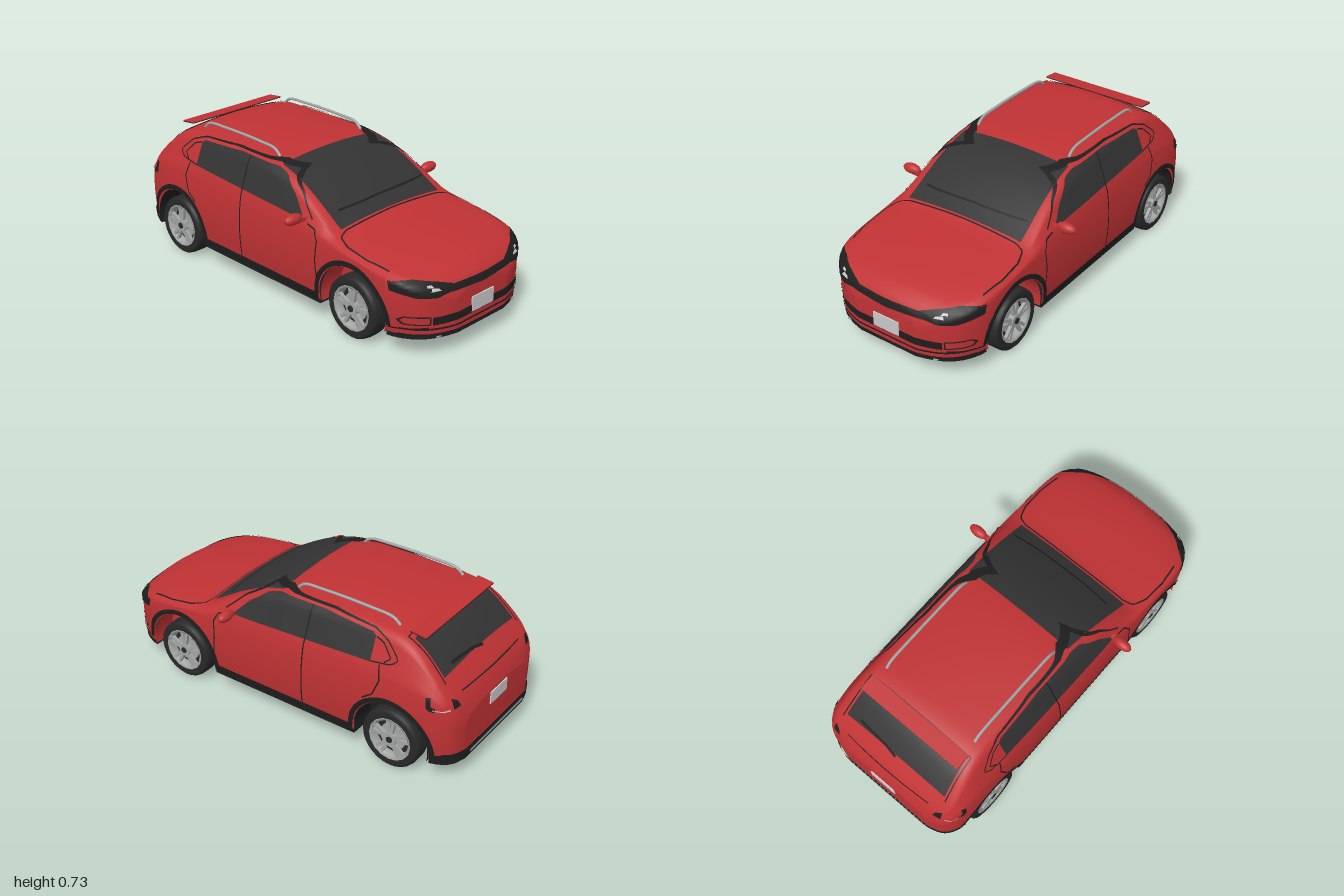
import * as THREE from 'three';

const mat = (name, color) => {
  const m = new THREE.MeshStandardMaterial({ color, side: THREE.DoubleSide });
  m.name = name;
  return m;
};

// Smooth curve through [z, value] pairs listed from front to back
function curve(p, z) {
  let i = 0;
  while (i < p.length - 2 && z < p[i + 1][0]) i++;
  const slope = (k) => {
    const a = p[Math.max(k - 1, 0)], b = p[Math.min(k + 1, p.length - 1)];
    return (b[1] - a[1]) / (b[0] - a[0]);
  };
  const h = p[i + 1][0] - p[i][0], t = (z - p[i][0]) / h, t2 = t * t, t3 = t2 * t;
  return (2 * t3 - 3 * t2 + 1) * p[i][1] + (t3 - 2 * t2 + t) * h * slope(i)
    + (3 * t2 - 2 * t3) * p[i + 1][1] + (t3 - t2) * h * slope(i + 1);
}

const WIDTH = [[1, .17], [.985, .23], [.96, .295], [.92, .35], [.87, .39], [.8, .418], [.65, .43], [0, .432],
  [-.65, .432], [-.8, .427], [-.9, .41], [-.96, .375], [-.985, .335], [-1, .28]];
const TOP = [[1, .31], [.985, .345], [.96, .37], [.9, .402], [.75, .436], [.6, .458], [.46, .476], [.42, .492],
  [.3, .565], [.2, .62], [.1, .662], [0, .688], [-.1, .699], [-.3, .704], [-.55, .7], [-.68, .688],
  [-.77, .645], [-.85, .575], [-.92, .5], [-.96, .45], [-.985, .4], [-1, .36]];
const BELT = [[1, .26], [.97, .31], [.9, .355], [.75, .392], [.5, .425], [.3, .455], [0, .472], [-.5, .49],
  [-.7, .49], [-.8, .475], [-.9, .435], [-.96, .38], [-1, .3]];
const ROOF = [[1, .14], [.97, .22], [.92, .3], [.8, .37], [.6, .385], [.42, .38], [.2, .362], [0, .347],
  [-.5, .34], [-.7, .345], [-.85, .36], [-.92, .36], [-.96, .335], [-1, .24]];
const ARCHES = [{ z: .58, r: .207 }, { z: -.68, r: .2 }];
const FLOOR = .115, AXLE = .155;

const archAt = (z) => ARCHES.find((a) => Math.abs(z - a.z) <= a.r + 1e-6);
function lowEdge(z) {
  const a = archAt(z);
  return a ? AXLE + Math.sqrt(Math.max(0, a.r ** 2 - (z - a.z) ** 2)) : FLOOR;
}

// Half cross-section from the sill up to the centre line
function section(z) {
  const w = curve(WIDTH, z), top = curve(TOP, z), b = curve(BELT, z), r = curve(ROOF, z), low = lowEdge(z);
  const sideX = (y) => w * (1 - 1.2 * (y - .3) ** 2), d = .025, pts = [];
  for (let i = 0; i <= 6; i++) {
    const y = low + (b - low) * i / 6;
    pts.push([sideX(y), y]);
  }
  const A = new THREE.Vector2(sideX(b), b), E = new THREE.Vector2(r, top - d);
  const M1 = A.clone().lerp(E, .78), M2 = new THREE.Vector2(.88 * r, top - d * .88 ** 2);
  for (let i = 1; i <= 3; i++) pts.push(A.clone().lerp(M1, i / 3).toArray());
  const bend = new THREE.QuadraticBezierCurve(M1, E, M2);
  for (let i = 1; i <= 5; i++) pts.push(bend.getPoint(i / 5).toArray());
  for (let i = 1; i <= 6; i++) {
    const k = .88 * (1 - i / 6);
    pts.push([k * r, top - d * k * k]);
  }
  return pts;
}

function stations() {
  const zs = [1, .995, .985, .97, .95, .925, .9, .86, .82, -.9, -.92, -.94, -.96, -.975, -.985, -.995, -1];
  for (let z = .35; z > -.46; z -= .05) zs.push(z);
  for (const a of ARCHES) {
    zs.push(a.z + a.r + .001, a.z - a.r - .001);
    for (let k = 0; k <= 18; k++) zs.push(a.z + a.r * Math.cos(k * Math.PI / 18));
  }
  return zs.sort((a, b) => b - a);
}

function bodyGeometry(zs) {
  const pos = [], idx = [];
  let n = 0;
  for (const z of zs) {
    const half = section(z);
    const ring = [...half.map(([x, y]) => [-x, y]), ...half.slice(0, -1).reverse()];
    n = ring.length;
    for (const [x, y] of ring) pos.push(x, y, z);
  }
  for (let i = 0; i < zs.length - 1; i++) for (let j = 0; j < n - 1; j++) {
    const a = i * n + j, c = a + n;
    idx.push(a, a + 1, c, a + 1, c + 1, c);
  }
  // nose and tail caps
  const f = pos.length / 3, last = (zs.length - 1) * n;
  pos.push(0, .2, 1, 0, .2, -1);
  for (let j = 0; j < n; j++) {
    const k = (j + 1) % n;
    idx.push(f, k, j, f + 1, last + j, last + k);
  }
  const g = new THREE.BufferGeometry();
  g.setAttribute('position', new THREE.Float32BufferAttribute(pos, 3));
  g.setIndex(idx);
  g.computeVertexNormals();
  return g;
}

export function createModel() {
  const car = new THREE.Group();
  car.name = 'car';
  const red = mat('red paint', 0xc03234), glass = mat('dark glass', 0x333333), black = mat('black trim', 0x1e1e1e);
  const rubber = mat('tyre rubber', 0x282828), silver = mat('silver metal', 0xa3a5a5), pale = mat('pale grey', 0xc9c9c9);
  const add = (name, geo, m, parent = car) => {
    const mesh = new THREE.Mesh(geo, m);
    mesh.name = name;
    parent.add(mesh);
    return mesh;
  };
  const zs = stations();
  const body = add('bodyShell', bodyGeometry(zs), red);

  // Thin plates laid onto the body along one of these directions
  const VIEWS = {
    left: (u, v) => [[2, v, u], [-1, 0, 0]], right: (u, v) => [[-2, v, u], [1, 0, 0]],
    front: (u, v) => [[u, v, 2], [0, 0, -1]], rear: (u, v) => [[u, v, -2], [0, 0, 1]],
    top: (u, v) => [[u, 2, v], [0, -1, 0]],
  };
  const ray = new THREE.Raycaster();
  const spaced = (pts, n) => new THREE.Path().setFromPoints(pts.map((p) => new THREE.Vector2(...p))).getSpacedPoints(n);
  function lay(name, m, view, A, B, rows, lift) {
    const pos = [], idx = [], n = A.length;
    let prev = null;
    for (let j = 0; j <= rows; j++) for (let i = 0; i < n; i++) {
      const p = A[i].clone().lerp(B[i], j / rows), [o, d] = VIEWS[view](p.x, p.y);
      ray.set(new THREE.Vector3(...o), new THREE.Vector3(...d));
      const hit = ray.intersectObject(body)[0];
      if (hit) {
        const nrm = hit.face.normal.clone();
        if (nrm.dot(ray.ray.direction) > 0) nrm.negate();
        prev = hit.point.clone().addScaledVector(nrm, lift);
      }
      const q = prev || new THREE.Vector3(0, .3, 0);
      pos.push(q.x, q.y, q.z);
      if (j < rows && i < n - 1) {
        const a = j * n + i;
        idx.push(a, a + 1, a + n, a + 1, a + n + 1, a + n);
      }
    }
    const g = new THREE.BufferGeometry();
    g.setAttribute('position', new THREE.Float32BufferAttribute(pos, 3));
    g.setIndex(idx);
    g.computeVertexNormals();
    return add(name, g, m);
  }
  const panel = (name, m, view, a, b, n = 20, rows = 6, lift = .004) => lay(name, m, view, spaced(a, n), spaced(b, n), rows, lift);
  const strip = (name, m, view, pts, width = .007, n = 24, lift = .005) => {
    const c = spaced(pts, n), shift = (s) => c.map((p, i) => {
      const t = c[Math.min(i + 1, n)].clone().sub(c[Math.max(i - 1, 0)]).normalize();
      return new THREE.Vector2(p.x - t.y * s * width / 2, p.y + t.x * s * width / 2);
    });
    return lay(name, m, view, shift(-1), shift(1), 1, lift);
  };

  // Windscreen, rear window and wipers
  panel('windscreen', glass, 'top', [[-.335, .425], [.335, .425]], [[-.31, .005], [.31, .005]], 20, 14);
  panel('rearWindow', glass, 'top', [[-.295, -.715], [.295, -.715]], [[-.31, -.885], [.31, -.885]], 20, 10);
  strip('frontWiper', black, 'front', [[-.28, .522], [0, .532], [.31, .527]], .006, 20, .009);
  strip('rearWiper', black, 'top', [[-.01, -.89], [.06, -.878], [.23, -.866]], .01, 14, .009);

  // Sides: glass, seams, sills, arch trim and lamp edges
  for (const side of ['left', 'right']) {
    panel('sideGlass', glass, side, [[.25, .487], [-.55, .527]],
      [[.25, .49], [.17, .575], [.07, .645], [0, .662], [-.25, .668], [-.54, .652], [-.55, .64]], 34, 8);
    strip('glassFrameSeam', black, side, [[.3, .5], [.2, .59], [.08, .658], [-.02, .675], [-.3, .679], [-.54, .667],
      [-.62, .64], [-.69, .575], [-.66, .545], [-.55, .53]], .006, 50);
    strip('quarterSeam', black, side, [[-.555, .64], [-.6, .625], [-.65, .57], [-.62, .545]], .006);
    strip('middleDoorSeam', black, side, [[-.19, .665], [-.185, .48], [-.18, .16]]);
    strip('frontDoorSeam', black, side, [[.28, .478], [.335, .465], [.36, .42], [.355, .33], [.372, .16]]);
    strip('rearDoorSeam', black, side, [[-.6, .53], [-.615, .46], [-.585, .38], [-.53, .34]]);
    panel('sillTrim', black, side, [[.37, .118], [-.475, .118]], [[.37, .16], [-.475, .16]], 16, 2, .008);
    panel('rearBumperSide', black, side, [[-.885, .118], [-.975, .118]], [[-.885, .16], [-.975, .16]], 10, 2, .008);
    strip('tailLampEdge', black, side, [[-.865, .46], [-.872, .41], [-.9, .405]], .022, 10);
    strip('bumperSeam', pale, side, [[-.89, .405], [-.955, .405]], .005, 10);
    strip('frontBumperLine', black, side, [[.8, .15], [.95, .16]], .007, 12);
    for (const a of ARCHES) {
      const arc = (r) => Array.from({ length: 33 }, (_, i) => {
        const t = Math.PI * i / 32;
        return new THREE.Vector2(a.z + r * Math.cos(t), AXLE + r * Math.sin(t));
      });
      lay('archTrim', black, side, arc(a.r + .003), arc(a.r + .028), 2, .006);
    }
  }

  // Front: lamps, grille, intake and bumper lines
  for (const s of [-1, 1]) {
    const at = (pts) => pts.map(([x, y]) => [s * x, y]);
    panel('headlamp', black, 'front', at([[.18, .318], [.27, .306], [.35, .31], [.415, .335]]),
      at([[.18, .345], [.26, .366], [.34, .382], [.415, .378]]), 20, 6);
    panel('headlampLens', pale, 'front', at([[.25, .33], [.3, .332]]), at([[.26, .341], [.29, .345]]), 6, 2, .008);
    panel('headlampLens', pale, 'front', at([[.28, .346], [.31, .348]]), at([[.285, .356], [.305, .358]]), 6, 2, .008);
    strip('fogLampFrame', black, 'front', at([[.3, .175], [.385, .18], [.397, .2], [.385, .217], [.3, .212], [.3, .176]]), .006, 40);
    panel('rearLampEdge', black, 'rear', at([[.3, .405], [.345, .405]]), at([[.31, .432], [.34, .45]]), 6, 3);
    strip('hatchSeam', black, 'top', at([[.31, -.69], [.315, -.8], [.325, -.9]]), .006);
    strip('hoodSeam', black, 'top', at([[0, .436], [.32, .44], [.37, .46], [.395, .53], [.4, .66], [.385, .78]]), .007, 40);
  }
  panel('grilleBand', black, 'front', [[-.2, .314], [0, .308], [.2, .314]], [[-.2, .342], [0, .342], [.2, .342]], 24, 3);
  panel('lowerIntake', black, 'front', [[-.29, .17], [.29, .17]], [[-.29, .21], [.29, .21]], 28, 3);
  strip('bumperGroove', black, 'front', [[-.39, .155], [-.2, .147], [.2, .147], [.39, .155]], .009, 36);
  panel('frontLip', black, 'front', [[-.39, .117], [.39, .117]], [[-.39, .128], [0, .122], [.39, .128]], 36, 1);
  add('frontLipStrip', new THREE.BoxGeometry(.54, .008, .012), silver).position.set(0, .106, .97);
  add('frontPlate', new THREE.BoxGeometry(.15, .075, .009), pale).position.set(0, .212, 1.002);

  // Rear: bumper, plate, seams and spoiler
  panel('rearBumper', black, 'rear', [[-.385, .118], [.385, .118]], [[-.385, .165], [.385, .165]], 36, 3, .007);
  strip('rearBumperStrip', silver, 'rear', [[-.25, .137], [.25, .137]], .018, 20, .011);
  add('rearPlate', new THREE.BoxGeometry(.15, .065, .009), pale).position.set(0, .325, -1.002);
  strip('tailgateSeam', black, 'rear', [[-.26, .452], [.26, .452]], .005);
  strip('roofSeam', black, 'top', [[-.31, -.69], [.31, -.69]], .006);
  for (const [m, dy] of [[red, 0], [black, -.004]]) {
    const plate = add('spoiler', new THREE.BoxGeometry(.6, .004, .085), m);
    plate.position.set(0, .689 + dy, -.735);
    plate.rotation.x = -.12;
  }

  // Underbody with notches for the wheels
  const outline = zs.map((z) => [archAt(z) ? .285 : curve(WIDTH, z) * .965, z]);
  const floor = new THREE.Shape([...outline, ...outline.map(([x, z]) => [-x, z]).reverse()].map((p) => new THREE.Vector2(...p)));
  const floorGeo = new THREE.ExtrudeGeometry(floor, { depth: .02, bevelEnabled: false }).rotateX(Math.PI / 2);
  add('underbody', floorGeo, black).position.y = .12;

  // Wheels, wheel wells, mirrors and roof rails
  const P = (list) => list.map((p) => new THREE.Vector2(...p));
  const tyreGeo = new THREE.LatheGeometry(P([[.108, -.05], [.14, -.053], [.151, -.044], [.155, -.025], [.155, .025],
    [.151, .044], [.14, .053], [.108, .048]]), 28).rotateZ(-Math.PI / 2);
  const rimGeo = new THREE.LatheGeometry(P([[.098, -.045], [.094, .02], [.098, .044], [.112, .052], [.114, .046]]), 16).rotateZ(-Math.PI / 2);
  const disc = (r, d, n) => new THREE.CylinderGeometry(r, r, d, n).rotateZ(Math.PI / 2);
  for (const s of [-1, 1]) {
    for (const a of ARCHES) {
      const wheel = new THREE.Group();
      wheel.name = a.z > 0 ? 'frontWheel' : 'rearWheel';
      wheel.position.set(s * .372, AXLE, a.z);
      if (s < 0) wheel.rotation.y = Math.PI;
      car.add(wheel);
      add('tyre', tyreGeo, rubber, wheel);
      add('rim', rimGeo, silver, wheel);
      add('innerDisc', disc(.1, .02, 20), rubber, wheel);
      add('brakeDisc', disc(.07, .012, 20), silver, wheel).position.x = .016;
      add('hub', disc(.034, .03, 10), silver, wheel).position.x = .036;
      add('hubCap', disc(.016, .008, 10), rubber, wheel).position.x = .052;
      for (let k = 0; k < 10; k++) {
        const t = (Math.floor(k / 2) + (k % 2 ? .13 : -.13)) * Math.PI * 2 / 5;
        const spoke = add('spoke', new THREE.BoxGeometry(.016, .085, .016).translate(0, .062, 0), silver, wheel);
        spoke.position.x = .038;
        spoke.rotation.x = t;
      }
      const lining = a.z > 0 ? red : black;
      const well = new THREE.CylinderGeometry(a.r, a.r, .13, 28, 1, true, -.2, Math.PI + .4).rotateZ(Math.PI / 2);
      add('wheelWell', well.rotateX(Math.PI), lining).position.set(s * .348, AXLE, a.z);
      const t0 = well.attributes.position;
      // keep the open side of the well facing down
      let sum = 0;
      for (let i = 0; i < t0.count; i++) sum += t0.getY(i);
      if (sum < 0) well.rotateX(Math.PI);
      const wall = new THREE.CircleGeometry(a.r, 28, -.2, Math.PI + .4).rotateY(Math.PI / 2);
      add('wellWall', wall, lining).position.set(s * .285, AXLE, a.z);
    }
    add('mirror', new THREE.SphereGeometry(1, 20, 14).scale(.052, .027, .027), red).position.set(s * .467, .507, .245);
    add('mirrorArm', new THREE.BoxGeometry(.06, .02, .025), red).position.set(s * .42, .495, .25);
    const rail = new THREE.CatmullRomCurve3([[.685, -.055], [.712, -.09], [.721, -.2], [.722, -.45], [.712, -.59], [.685, -.625]]
      .map(([y, z]) => new THREE.Vector3(s * .275, y, z)));
    add('roofRail', new THREE.TubeGeometry(rail, 32, .0075, 8), silver);
  }
  return car;
}
